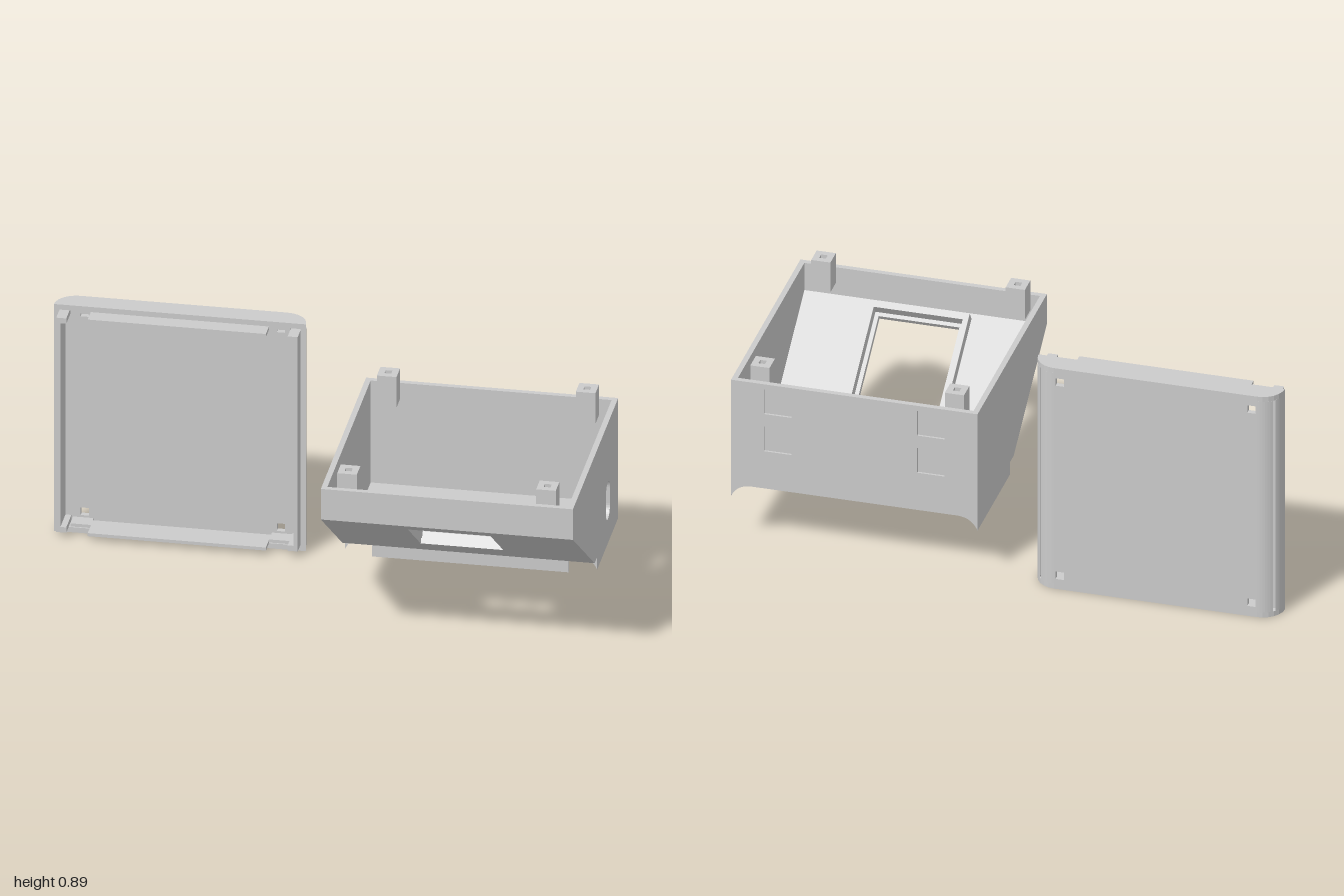
import * as THREE from 'three';

const mat = new THREE.MeshStandardMaterial({ color: 0xcccccc, flatShading: true, side: THREE.DoubleSide });

function add(group, name, geo) {
  const mesh = new THREE.Mesh(geo, mat);
  mesh.name = name;
  group.add(mesh);
  return mesh;
}

// Box given by its min and max on each axis
function box(group, name, x0, x1, y0, y1, z0, z1) {
  const geo = new THREE.BoxGeometry(x1 - x0, y1 - y0, z1 - z0);
  geo.translate((x0 + x1) / 2, (y0 + y1) / 2, (z0 + z1) / 2);
  return add(group, name, geo);
}

const poly = (pts) => new THREE.Shape(pts.map(([x, y]) => new THREE.Vector2(x, y)));
const rect = (x0, x1, y0, y1) => poly([[x0, y0], [x1, y0], [x1, y1], [x0, y1]]);

function extrude(shape, depth, holes = []) {
  shape.holes.push(...holes);
  return new THREE.ExtrudeGeometry(shape, { depth, bevelEnabled: false, curveSegments: 8 });
}

// Points on the lid's rounded edge, as [x, -z] around the lid's middle
function edgeArc(a0, a1, side = 1) {
  return Array.from({ length: 7 }, (_, i) => {
    const a = a0 + (a1 - a0) * i / 6;
    return [side * (0.37 + 0.08 * Math.cos(a)), 0.365 + 0.08 * Math.sin(a)];
  });
}

function createLid() {
  const lid = new THREE.Group();
  lid.name = 'lid';
  const H = 0.89, W = 0.02;
  const upright = (name, pts, y0, y1) =>
    add(lid, name, extrude(poly(pts), y1 - y0).rotateX(-Math.PI / 2).translate(0, y0, 0));

  // Full-profile end walls
  const profile = [...edgeArc(0, Math.PI / 2), ...edgeArc(0, Math.PI / 2, -1).reverse()];
  upright('bottomEndWall', profile, 0, W);
  upright('topEndWall', profile, H - W, H);

  // Back panel with screw holes
  const holes = [];
  for (const x of [-0.35, 0.35])
    for (const y of [0.055, 0.835]) holes.push(rect(x - 0.015, x + 0.015, y - 0.015, y + 0.015));
  add(lid, 'backPanel', extrude(rect(-0.37, 0.37, W, H - W), 0.02, holes).translate(0, 0, -0.445));

  for (const s of [-1, 1]) {
    // Rounded edge, split by a narrow slit
    upright('panelEdge', [[s * 0.37, 0.425], ...edgeArc(Math.asin(0.75), Math.PI / 2, s)], W, H - W);
    upright('sideWall', [[s * 0.43, 0.365], ...edgeArc(0, Math.acos(0.75), s)], W, H - W);
    // Side lip with thicker ends
    const span = (a, b) => [Math.min(s * a, s * b), Math.max(s * a, s * b)];
    box(lid, 'sideLip', ...span(0.416, 0.431), 0.025, 0.866, -0.408, -0.308);
    for (const y of [0.025, 0.845])
      box(lid, 'sideLipEnd', ...span(0.395, 0.43), y, y + 0.021, -0.408, -0.308);
  }
  // Long lips and corner ledges at top and bottom
  for (const y of [0.02, 0.858]) {
    box(lid, 'endLip', -0.318, 0.318, y, y + 0.012, -0.408, -0.305);
    for (const x of [-0.355, 0.355])
      box(lid, 'cornerLedge', x - 0.037, x + 0.037, y, y + 0.012, -0.425, -0.37);
  }
  lid.position.x = -0.55;
  return lid;
}

function createCase() {
  const body = new THREE.Group();
  body.name = 'case';
  const X0 = 0.1, X1 = 1, T = 0.02;

  // Side walls; the left one has a rounded cable slot
  const slot = new THREE.Path();
  const r = 0.0415;
  slot.absarc(0.2425, 0.43 - r, r, 0, Math.PI);
  slot.absarc(0.2425, 0.285 + r, r, Math.PI, Math.PI * 2);
  slot.closePath();
  for (const [x, cut] of [[X0, []], [X1 - T, [slot]]]) {
    const side = poly([[-0.445, 0.66], [-0.445, 0.54], [-0.02, 0.24], [0.445, 0.24], [0.445, 0.66]]);
    add(body, 'sideWall', extrude(side, T, cut).rotateY(Math.PI / 2).translate(x, 0, 0));
  }
  box(body, 'floor', X0 + T, X1 - T, 0.24, 0.26, -0.445, 0.02);
  box(body, 'frontWall', X0 + T, X1 - T, 0.54, 0.66, 0.425, 0.445);

  // Back wall with four shallow square recesses
  const recesses = [];
  for (const x of [0.27, 0.83])
    for (const y of [0.59, 0.44]) recesses.push(rect(x - 0.05, x + 0.05, y - 0.05, y + 0.05));
  add(body, 'backWallOuter', extrude(rect(X0 + T, X1 - T, 0.24, 0.66), 0.008, recesses).translate(0, 0, -0.445));
  box(body, 'backWallInner', X0 + T, X1 - T, 0.24, 0.66, -0.437, -0.425);

  // Sloped front with a window and raised inner frame
  const slope = new THREE.Group();
  slope.name = 'slopedFront';
  const len = Math.hypot(0.425, 0.3);
  add(slope, 'slopePanel', extrude(rect(X0 + T, X1 - T, 0, len), T, [rect(0.4, 0.695, 0.139, 0.45)]).translate(0, 0, -T));
  add(slope, 'windowFrame', extrude(rect(0.365, 0.73, 0.018, 0.49), 0.04, [rect(0.385, 0.71, 0.03, 0.465)]).translate(0, 0, -0.06));
  slope.position.set(0, 0.24, 0.02);
  slope.rotation.x = Math.atan2(0.425, 0.3);
  body.add(slope);

  // Curved feet under both sides
  for (const [x, s] of [[X0, 1], [X1, -1]]) {
    const foot = new THREE.Shape();
    foot.moveTo(x, 0.245);
    foot.lineTo(x, 0.19);
    foot.quadraticCurveTo(x + s * 0.018, 0.236, x + s * 0.07, 0.24);
    foot.lineTo(x + s * 0.07, 0.245);
    add(body, 'foot', extrude(foot, 0.415).translate(0, 0, -0.445));
  }
  box(body, 'bottomLip', 0.2, 0.9, 0.178, 0.245, -0.03, -0.015);

  // Corner posts with blind screw holes
  for (const x of [0.19, 0.9])
    for (const z of [-0.39, 0.39]) {
      const h = 0.012;
      const post = extrude(rect(-0.035, 0.035, -0.035, 0.035), 0.1, [rect(-h, h, -h, h)]);
      add(body, 'cornerPost', post.rotateX(-Math.PI / 2).translate(x, 0.617, z));
      box(body, 'postBase', x - 0.035, x + 0.035, 0.597, 0.617, z - 0.035, z + 0.035);
    }
  return body;
}

export function createModel() {
  const model = new THREE.Group();
  model.name = 'electronicsEnclosure';
  model.add(createLid(), createCase());
  return model;
}
